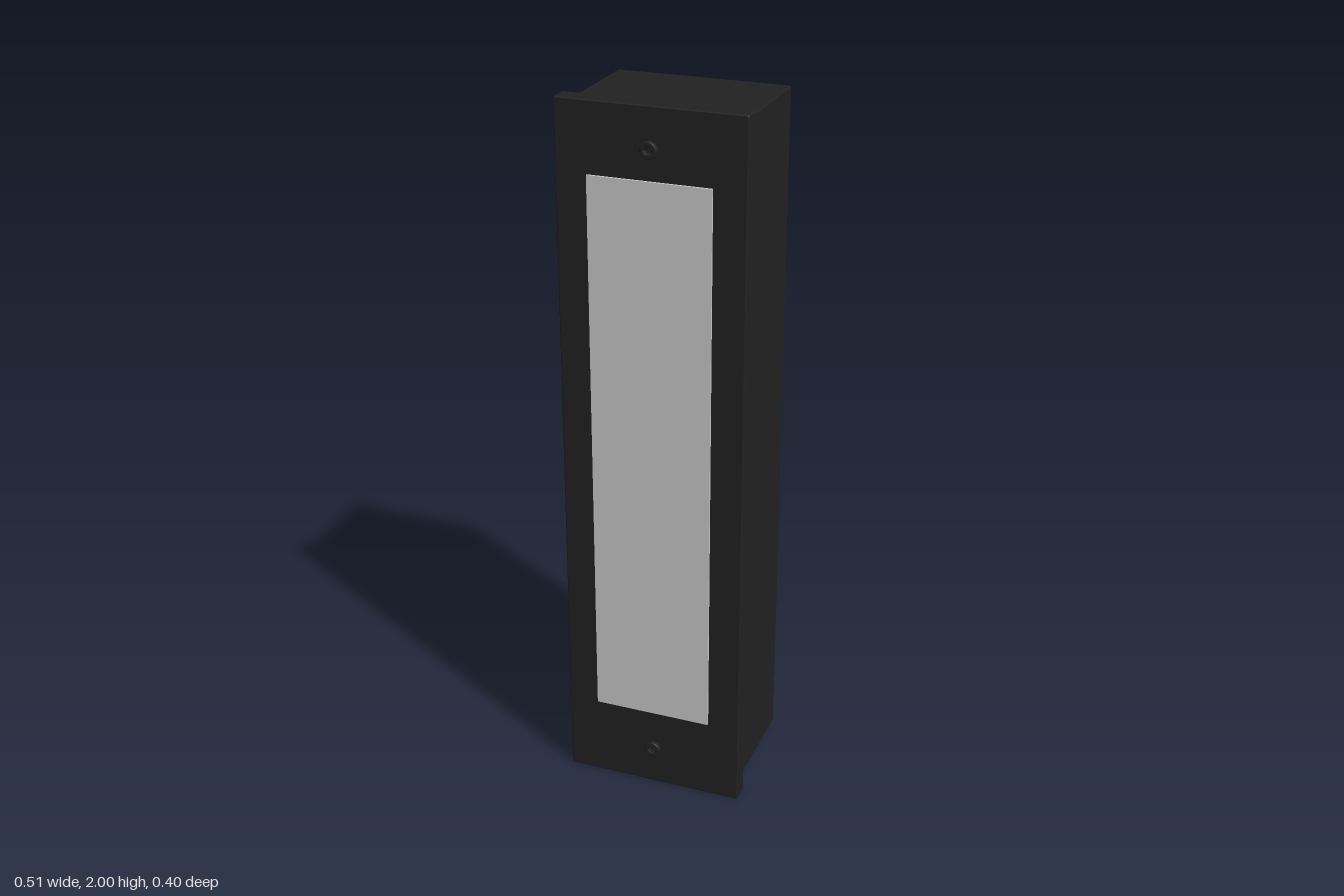
import * as THREE from 'three';
import { RoundedBoxGeometry } from 'three/addons/geometries/RoundedBoxGeometry.js';

const housingBlack = new THREE.MeshStandardMaterial({ color: 0x222222 });
housingBlack.name = 'housing black';
const lensGrey = new THREE.MeshStandardMaterial({ color: 0xcccccc });
lensGrey.name = 'lens grey';

// Box given by its minimum and maximum corners, with softened edges when radius > 0
function block(name, min, max, radius, material) {
  const size = max.map((v, i) => v - min[i]);
  const geometry = radius > 0
    ? new RoundedBoxGeometry(...size, 3, radius)
    : new THREE.BoxGeometry(...size);
  const mesh = new THREE.Mesh(geometry, material);
  mesh.name = name;
  mesh.position.set(...max.map((v, i) => (v + min[i]) / 2));
  return mesh;
}

// Round screw head with a chamfered rim and a hexagonal socket
function screwGeometry() {
  const head = new THREE.Shape().absarc(0, 0, 0.02, 0, Math.PI * 2, false);
  const socket = new THREE.Path();
  for (let i = 0; i <= 6; i++) {
    const a = -i * Math.PI / 3;
    socket[i ? 'lineTo' : 'moveTo'](0.014 * Math.cos(a), 0.014 * Math.sin(a));
  }
  head.holes.push(socket);
  return new THREE.ExtrudeGeometry(head, {
    depth: 0.012, curveSegments: 16,
    bevelEnabled: true, bevelThickness: 0.003, bevelSize: 0.003, bevelSegments: 2,
  });
}

export function createModel() {
  const model = new THREE.Group();
  model.name = 'recessedWallLight';

  // Deep box that sits in the wall, and the wider cover plate on its front
  model.add(block('housing', [-0.241, 0.026, -0.2], [0.241, 1.98, 0.14], 0.005, housingBlack));
  model.add(block('facePlate', [-0.257, 0, 0.13], [0.257, 2, 0.185], 0.004, housingBlack));

  // Thin diffuser standing just off the plate
  model.add(block('lens', [-0.168, 0.24, 0.188], [0.168, 1.81, 0.194], 0, lensGrey));

  // Fixing screws above and below the lens
  const geometry = screwGeometry();
  for (const [name, y] of [['upperScrew', 1.89], ['lowerScrew', 0.115]]) {
    const screw = new THREE.Mesh(geometry, housingBlack);
    screw.name = name;
    screw.position.set(0, y, 0.184);
    model.add(screw);
  }
  return model;
}
